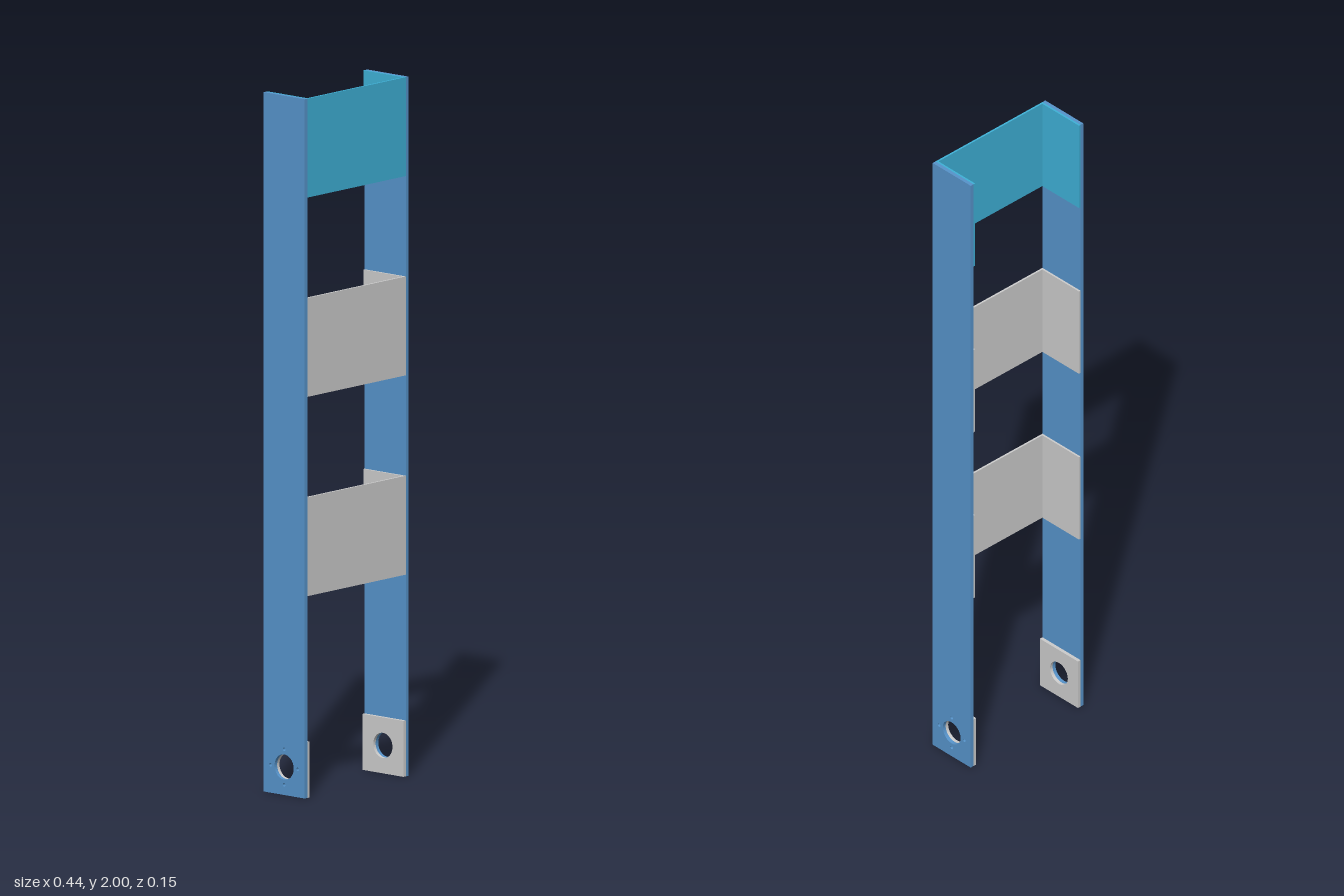
import * as THREE from 'three';

const DEPTH = 0.077;      // half depth of the rails
const RAIL_IN = 0.208;    // inner face of a rail
const RAIL_OUT = 0.219;   // outer face of a rail
const SHEET = 0.006;      // bracket sheet thickness

const grey = new THREE.MeshStandardMaterial({ color: 0xcccccc });
const blue = new THREE.MeshStandardMaterial({ color: 0x5693ca });
const teal = new THREE.MeshStandardMaterial({ color: 0x3eb0d6 });

const HOLE_Y = 0.08;
const circle = (x, y, r) => new THREE.Path().absarc(x, y, r, 0, Math.PI * 2, true);

// Upright plate in the yz plane with round holes, between x0 and x1
function plate(name, height, x0, x1, holes, material) {
  const shape = new THREE.Shape([
    new THREE.Vector2(-DEPTH, 0), new THREE.Vector2(DEPTH, 0),
    new THREE.Vector2(DEPTH, height), new THREE.Vector2(-DEPTH, height),
  ]);
  shape.holes.push(...holes);
  const geo = new THREE.ExtrudeGeometry(shape, { depth: x1 - x0, bevelEnabled: false, curveSegments: 24 });
  geo.rotateY(Math.PI / 2).translate(x0, 0, 0);
  const mesh = new THREE.Mesh(geo, material);
  mesh.name = name;
  return mesh;
}

// U-shaped sheet: front panel with a flange running back along each rail
function bracket(name, y0, height, material) {
  const w = RAIL_IN, i = RAIL_IN - SHEET, d = DEPTH;
  const shape = new THREE.Shape([
    [-w, -d], [w, -d], [w, d], [i, d], [i, -d + SHEET], [-i, -d + SHEET], [-i, d], [-w, d],
  ].map(([x, y]) => new THREE.Vector2(x, y)));
  const geo = new THREE.ExtrudeGeometry(shape, { depth: height, bevelEnabled: false });
  geo.rotateX(-Math.PI / 2).translate(0, y0, 0);
  const mesh = new THREE.Mesh(geo, material);
  mesh.name = name;
  return mesh;
}

export function createModel() {
  const model = new THREE.Group();
  model.name = 'ladderFrame';

  for (const side of [1, -1]) {
    const label = side > 0 ? 'left' : 'right';
    const span = (a, b) => (side > 0 ? [a, b] : [-b, -a]);

    // Rail with a pivot hole and four small fastener holes around it
    const railHoles = [circle(0, HOLE_Y, 0.036)];
    for (let k = 0; k < 4; k++) {
      const a = k * Math.PI / 2;
      railHoles.push(circle(0.051 * Math.cos(a), HOLE_Y + 0.051 * Math.sin(a), 0.005));
    }
    model.add(plate(label + 'Rail', 2, ...span(RAIL_IN, RAIL_OUT), railHoles, blue));

    // Reinforcing pad on the inside of the rail foot
    model.add(plate(label + 'FootPad', 0.16, ...span(0.198, RAIL_IN),
      [circle(0, HOLE_Y, 0.036)], grey));
  }

  // Cross brackets
  model.add(bracket('lowerBracket', 0.577, 0.283, grey));
  model.add(bracket('middleBracket', 1.147, 0.283, grey));
  model.add(bracket('topBracket', 1.717, 0.283, teal));
  return model;
}
